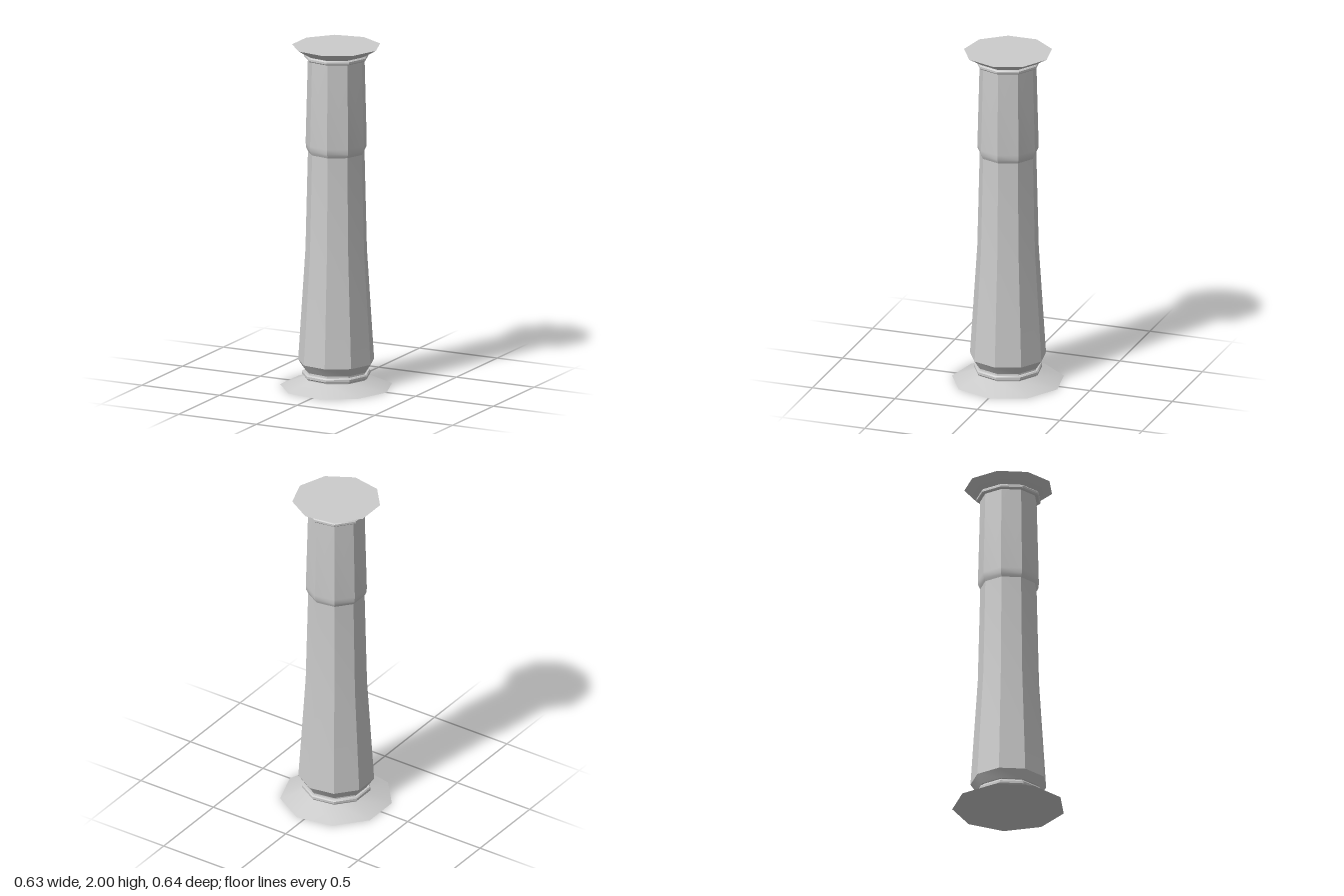
import * as THREE from 'three';
import { toCreasedNormals } from 'three/addons/utils/BufferGeometryUtils.js';

const SIDES = 9;

export function createModel() {
  const column = new THREE.Group();
  column.name = 'column';
  const material = new THREE.MeshStandardMaterial({ color: 0xcccccc });

  // Nine-sided turned part from [radius, height] pairs, bottom to top, one corner on +x
  function turned(name, profile) {
    const points = profile.map(([r, y]) => new THREE.Vector2(r, y));
    const lathe = new THREE.LatheGeometry(points, SIDES, Math.PI / 2);
    const mesh = new THREE.Mesh(toCreasedNormals(lathe, THREE.MathUtils.degToRad(36)), material);
    mesh.name = name;
    column.add(mesh);
  }

  // Thin rounded moulding that closes onto the core
  function ring(name, radius, y, half) {
    const core = radius - 0.025;
    turned(name, [
      [core, y - half], [radius - 0.006, y - half], [radius, y - half * 0.5],
      [radius, y + half * 0.5], [radius - 0.006, y + half], [core, y + half],
    ]);
  }

  // Flared foot, closed underneath
  turned('base', [[0, 0], [0.324, 0], [0.183, 0.053], [0.178, 0.1]]);
  ring('baseRing', 0.198, 0.074, 0.014);

  // Tapering lower shaft with a chamfered foot
  turned('lowerShaft', [
    [0.17, 0.098], [0.186, 0.1], [0.22, 0.15], [0.178, 0.8], [0.164, 1.37], [0.164, 1.385],
  ]);

  // Upper shaft, swelling out over the joint
  turned('upperShaft', [
    [0.163, 1.375], [0.168, 1.385], [0.175, 1.4], [0.177, 1.43], [0.164, 1.93], [0.164, 1.955],
  ]);

  // Flared capital with a flat top
  ring('capitalRing', 0.186, 1.939, 0.012);
  turned('capital', [[0.164, 1.948], [0.178, 1.954], [0.255, 2], [0, 2]]);

  // Centre the odd-sided outline on x
  column.children.forEach((part) => { part.position.x = -0.01; });
  return column;
}
